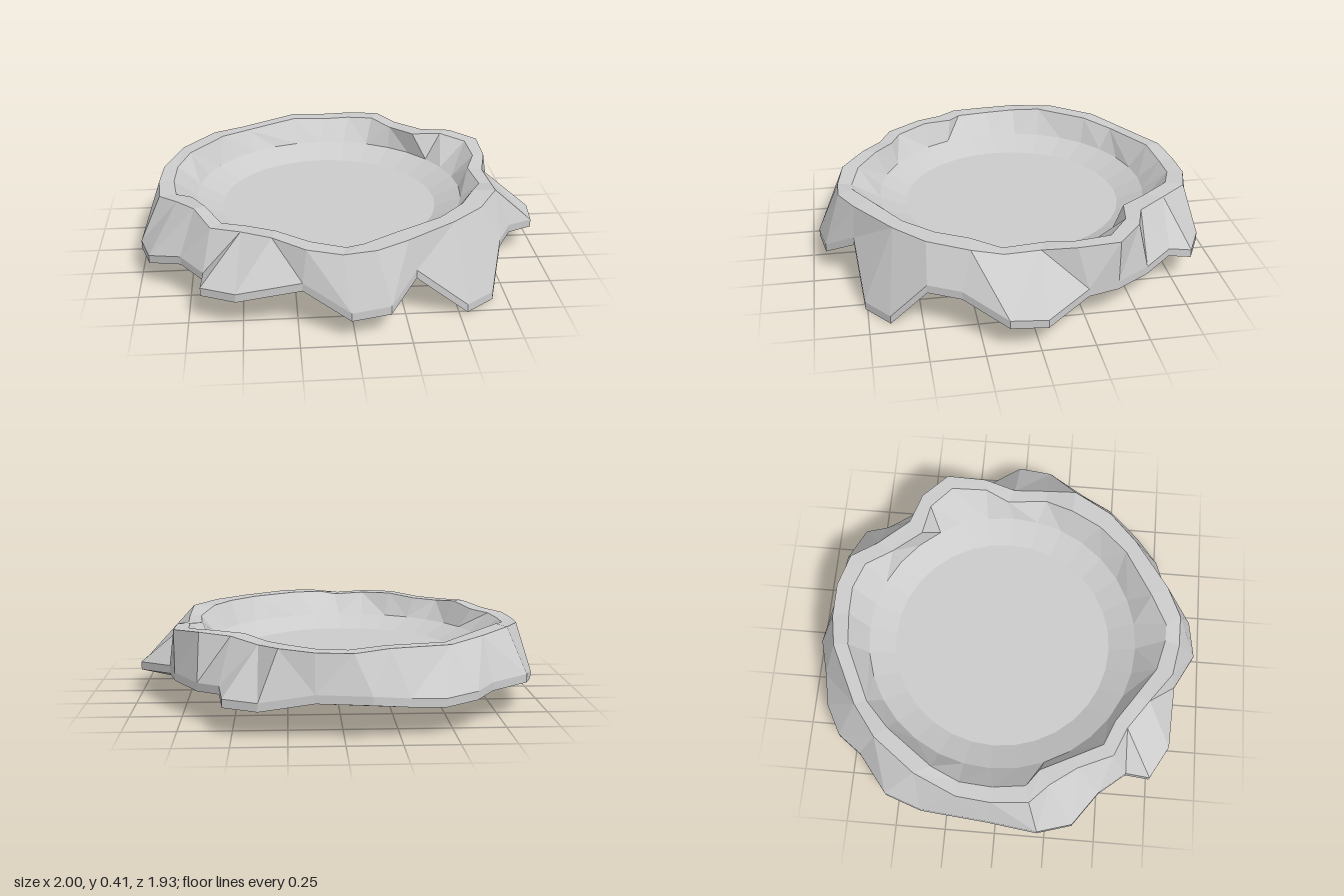
import * as THREE from 'three';

// Ragged hem, bottom corners as [x, y, z]
const HEM = [
  [1, .12, -.03], [.98, .12, .14], [.82, .19, .33], [.74, .19, .48], [.68, 0, .65], [.54, 0, .76],
  [.29, .21, .79], [.16, .11, .93], [-.02, .1, .96], [-.23, .2, .85], [-.53, .15, .84], [-.69, .14, .75],
  [-.68, .15, .63], [-.79, .17, .5], [-.95, .12, .38], [-1, .115, .21], [-.97, .13, -.04], [-.94, .135, -.37],
  [-.88, .16, -.55], [-.69, .16, -.7], [-.6, .15, -.82], [-.45, .14, -.9], [-.29, .15, -.93], [-.12, .17, -.97],
  [.13, .17, -.93], [.38, .13, -.91], [.54, .13, -.83], [.56, .16, -.71], [.67, .14, -.57], [.79, .15, -.4],
  [.83, .15, -.25],
];
// Outer edge of the rim as [x, y, z]
const RIM_OUT = [
  [.79, .4, -.4], [.79, .39, -.2], [.75, .37, -.04], [.76, .37, .13], [.75, .4, .28], [.64, .4, .47],
  [.49, .4, .61], [.25, .4, .78], [.1, .39, .85], [-.05, .375, .85], [-.21, .39, .82], [-.36, .4, .71],
  [-.5, .385, .61], [-.64, .38, .55], [-.72, .4, .38], [-.81, .38, .25], [-.9, .37, .16], [-.915, .37, -.02],
  [-.9, .38, -.19], [-.81, .4, -.4], [-.65, .4, -.61], [-.49, .385, -.73], [-.2, .4, -.87], [-.04, .385, -.9],
  [.13, .39, -.9], [.29, .4, -.85], [.38, .39, -.72], [.51, .4, -.57], [.66, .41, -.52],
];
// Inner edge of the rim as [x, z], same order as the outer edge
const RIM_IN = [
  [.72, -.37], [.73, -.19], [.68, -.07], [.7, .13], [.64, .27], [.56, .42], [.43, .56], [.2, .7], [.05, .78],
  [-.03, .78], [-.19, .74], [-.34, .64], [-.47, .55], [-.59, .5], [-.67, .35], [-.74, .2], [-.82, .14],
  [-.84, -.02], [-.83, -.18], [-.77, -.32], [-.6, -.55], [-.47, -.67], [-.19, -.8], [-.02, -.82],
  [.12, -.82], [.25, -.77], [.34, -.64], [.45, -.5], [.6, -.47],
];

const vec = ([x, y, z]) => new THREE.Vector3(x, y, z);
const angle = (p) => Math.atan2(p.z, p.x);
const byAngle = (ring) => [...ring].sort((p, q) => angle(p) - angle(q));

function circle(radius, y, sides = 32) {
  return Array.from({ length: sides }, (_, i) => {
    const a = (i / sides) * Math.PI * 2;
    return new THREE.Vector3(-.05 + radius * Math.cos(a), y, -.04 + radius * Math.sin(a));
  });
}

// Triangles joining two rings that may differ in point count
function bridge(ringA, ringB) {
  const a = byAngle(ringA), b = byAngle(ringB), tris = [];
  const turn = (r, i) => angle(r[i % r.length]) + (i >= r.length ? Math.PI * 2 : 0);
  let i = 0, j = 0;
  while (i < a.length || j < b.length) {
    const p = a[i % a.length], q = b[j % b.length];
    const stepA = j >= b.length || (i < a.length && turn(a, i + 1) <= turn(b, j + 1));
    if (stepA) tris.push(p, q, a[++i % a.length]);
    else tris.push(p, q, b[++j % b.length]);
  }
  return tris;
}

// Upward triangles from a ring to a centre point
function cap(ring, centre) {
  return ring.flatMap((p, i) => [p, centre, ring[(i + 1) % ring.length]]);
}

// Downward triangles fanned from the first point of an outline
function fanBelow(outline) {
  return outline.slice(1, -1).flatMap((p, i) => [outline[0], p, outline[i + 2]]);
}

export function createModel() {
  const group = new THREE.Group();
  const material = new THREE.MeshStandardMaterial({ color: 0xcccccc, flatShading: true });
  const add = (name, tris) => {
    const geometry = new THREE.BufferGeometry().setFromPoints(tris);
    geometry.computeVertexNormals();
    const mesh = new THREE.Mesh(geometry, material);
    mesh.name = name;
    group.add(mesh);
  };

  const hemBottom = HEM.map(vec);
  const hemTop = hemBottom.map((p) => p.clone().setY(p.y + .04));
  const rimOuter = RIM_OUT.map(vec);
  const rimInner = RIM_IN.map(([x, z], i) => new THREE.Vector3(x, RIM_OUT[i][1], z));
  const bowlEdge = circle(.68, .28);
  const floorEdge = circle(.55, .22);

  add('hemEdge', bridge(hemBottom, hemTop));
  add('outerWall', bridge(hemTop, rimOuter));
  // Rim edges pair up point by point
  add('rim', rimOuter.flatMap((p, i) => {
    const k = (i + 1) % rimOuter.length;
    return [p, rimInner[i], rimOuter[k], rimOuter[k], rimInner[i], rimInner[k]];
  }));
  add('innerWall', bridge(rimInner, bowlEdge));
  add('bowlSlope', bridge(bowlEdge, floorEdge));
  add('bowlFloor', cap(floorEdge, new THREE.Vector3(-.05, .22, -.04)));

  // Underside fans out from a back corner, with the front points hanging below it
  const back = 24;
  add('underside', fanBelow([
    ...hemBottom.slice(back), ...hemBottom.slice(0, 4), ...hemBottom.slice(9, back),
  ]));
  const corners = (...ids) => fanBelow(ids.map((i) => hemBottom[i]));
  add('frontPoints', [...corners(3, 4, 5, 6), ...corners(6, 7, 8, 9), ...corners(3, 6, 9)]);
  return group;
}
